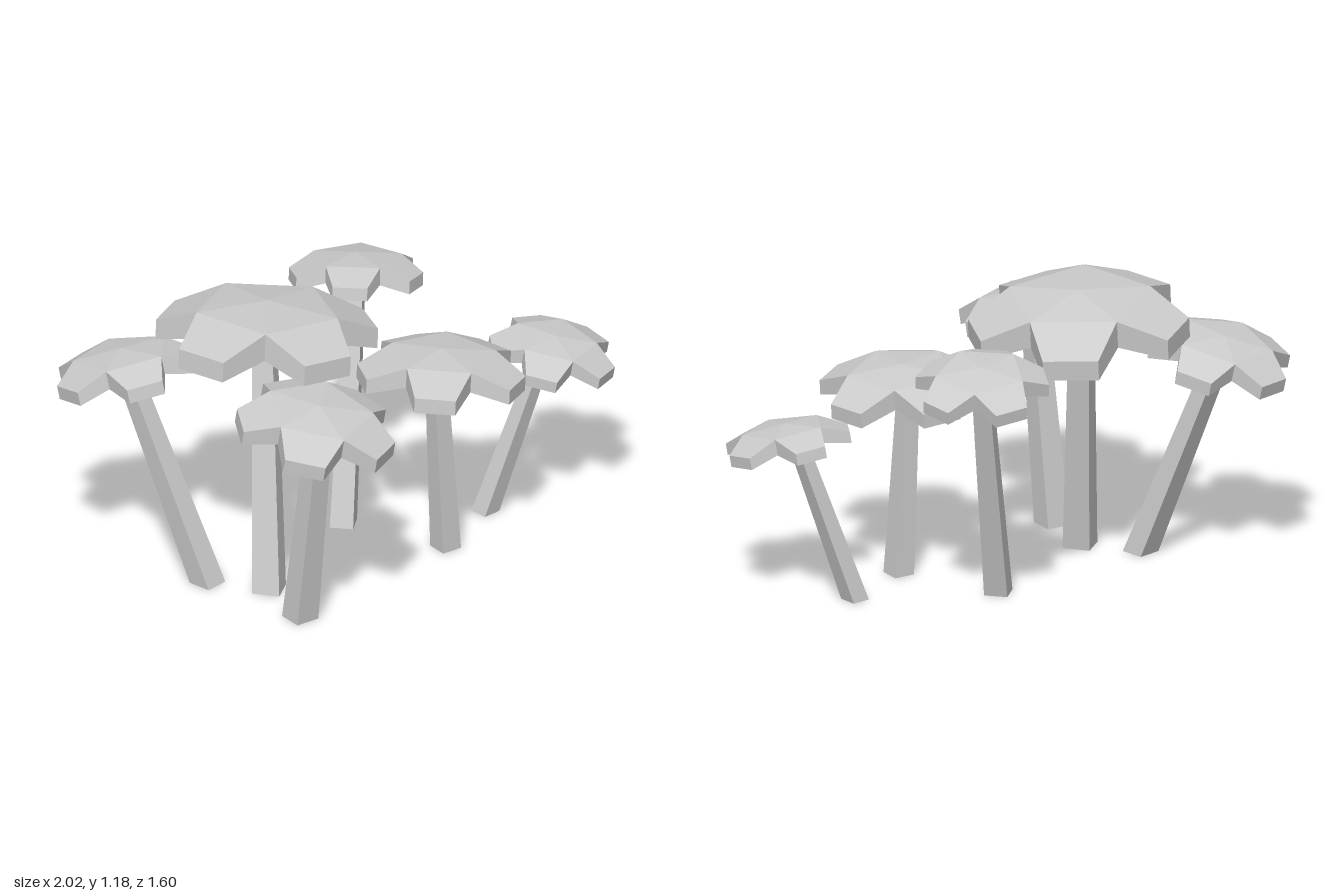
import * as THREE from 'three';

const material = new THREE.MeshStandardMaterial({
  color: 0xcccccc, flatShading: true, side: THREE.DoubleSide,
});

// Five-lobed hollow crown: shallow pentagon dome, a drooping lobe on every edge
// and a rim hanging around the outline. slope = [dy/dx, dy/dz] tilts the crown.
function crownGeometry(r, reach, turn, slope) {
  const [sx, sz] = slope;
  const positions = [];
  const point = (radius, side, angle, y) => {
    const c = Math.cos(angle), s = Math.sin(angle);
    const x = radius * c - side * s, z = radius * s + side * c;
    return [x - sx * y, y + sx * x + sz * z, z - sz * y];
  };
  const tri = (a, b, c) => positions.push(...a, ...b, ...c);
  const quad = (a, b, c, d) => { tri(a, b, c); tri(a, c, d); };

  // outline of one lobe: ring corner, two tip corners, next ring corner
  const lobe = (k, ringY, tipY) => {
    const a = THREE.MathUtils.degToRad(turn + 72 * k);
    return [
      point(r, 0, a - Math.PI / 5, ringY * r),
      point(reach, -0.375 * r, a, tipY * r),
      point(reach, 0.375 * r, a, tipY * r),
      point(r, 0, a + Math.PI / 5, ringY * r),
    ];
  };

  for (let k = 0; k < 5; k++) {
    const t = lobe(k, -0.1, -0.38);
    const b = lobe(k, -0.48, -0.66);
    tri([0, 0, 0], t[3], t[0]);
    quad(t[0], t[3], t[2], t[1]);
    for (let i = 0; i < 3; i++) quad(t[i], t[i + 1], b[i + 1], b[i]);
  }
  const geometry = new THREE.BufferGeometry();
  geometry.setAttribute('position', new THREE.Float32BufferAttribute(positions, 3));
  geometry.computeVertexNormals();
  return geometry;
}

// Open square tapered trunk, sheared from its base to its top so both ends stay level.
function trunkGeometry(radius, corner, base, top, height) {
  const geometry = new THREE.CylinderGeometry(radius * 0.72, radius, height, 4, 1, true);
  geometry.rotateY(THREE.MathUtils.degToRad(90 - corner));
  geometry.translate(0, height / 2, 0);
  const p = geometry.attributes.position;
  for (let i = 0; i < p.count; i++) {
    const t = p.getY(i) / height;
    p.setX(i, p.getX(i) + THREE.MathUtils.lerp(base[0], top[0], t));
    p.setZ(i, p.getZ(i) + THREE.MathUtils.lerp(base[1], top[1], t));
  }
  geometry.computeVertexNormals();
  return geometry;
}

// crown: [x, apex height, z]; base and top: trunk [x, z]
const trees = [
  { name: 'tallTree', crown: [-0.335, 1.185, -0.08], r: 0.3, reach: 0.435, turn: 37, slope: [-0.1, 0.03],
    base: [-0.53, 0.07], top: [-0.36, -0.08], trunk: 0.08, corner: 22 },
  { name: 'frontLeftTree', crown: [-0.67, 1.0, 0.43], r: 0.22, reach: 0.313, turn: 8, slope: [0, -0.18],
    base: [-0.655, 0.32], top: [-0.675, 0.44], trunk: 0.074, corner: 62 },
  { name: 'frontMiddleTree', crown: [0.19, 0.9, 0.41], r: 0.222, reach: 0.332, turn: 4, slope: [-0.08, 0],
    base: [0.195, 0.42], top: [0.14, 0.41], trunk: 0.063, corner: 62 },
  { name: 'frontRightTree', crown: [0.757, 0.768, 0.557], r: 0.17, reach: 0.25, turn: 10, slope: [-0.05, -0.18],
    base: [0.545, 0.36], top: [0.735, 0.53], trunk: 0.056, corner: 55 },
  { name: 'backRightTree', crown: [0.393, 1.075, -0.175], r: 0.187, reach: 0.264, turn: 5, slope: [-0.15, 0.1],
    base: [0.115, -0.035], top: [0.4, -0.18], trunk: 0.068, corner: 18 },
  { name: 'backLeftTree', crown: [-0.715, 0.985, -0.535], r: 0.198, reach: 0.282, turn: 55, slope: [0.02, 0.23],
    base: [-0.63, -0.165], top: [-0.71, -0.54], trunk: 0.072, corner: 50 },
];

export function createModel() {
  const model = new THREE.Group();
  model.name = 'treeGrove';
  for (const t of trees) {
    const tree = new THREE.Group();
    tree.name = t.name;

    const crown = new THREE.Mesh(crownGeometry(t.r, t.reach, t.turn, t.slope), material);
    crown.name = 'crown';
    crown.position.set(...t.crown);

    // trunk ends just under the dome
    const height = t.crown[1] - 0.14 * t.r;
    const trunk = new THREE.Mesh(trunkGeometry(t.trunk, t.corner, t.base, t.top, height), material);
    trunk.name = 'trunk';

    tree.add(trunk, crown);
    model.add(tree);
  }
  return model;
}
